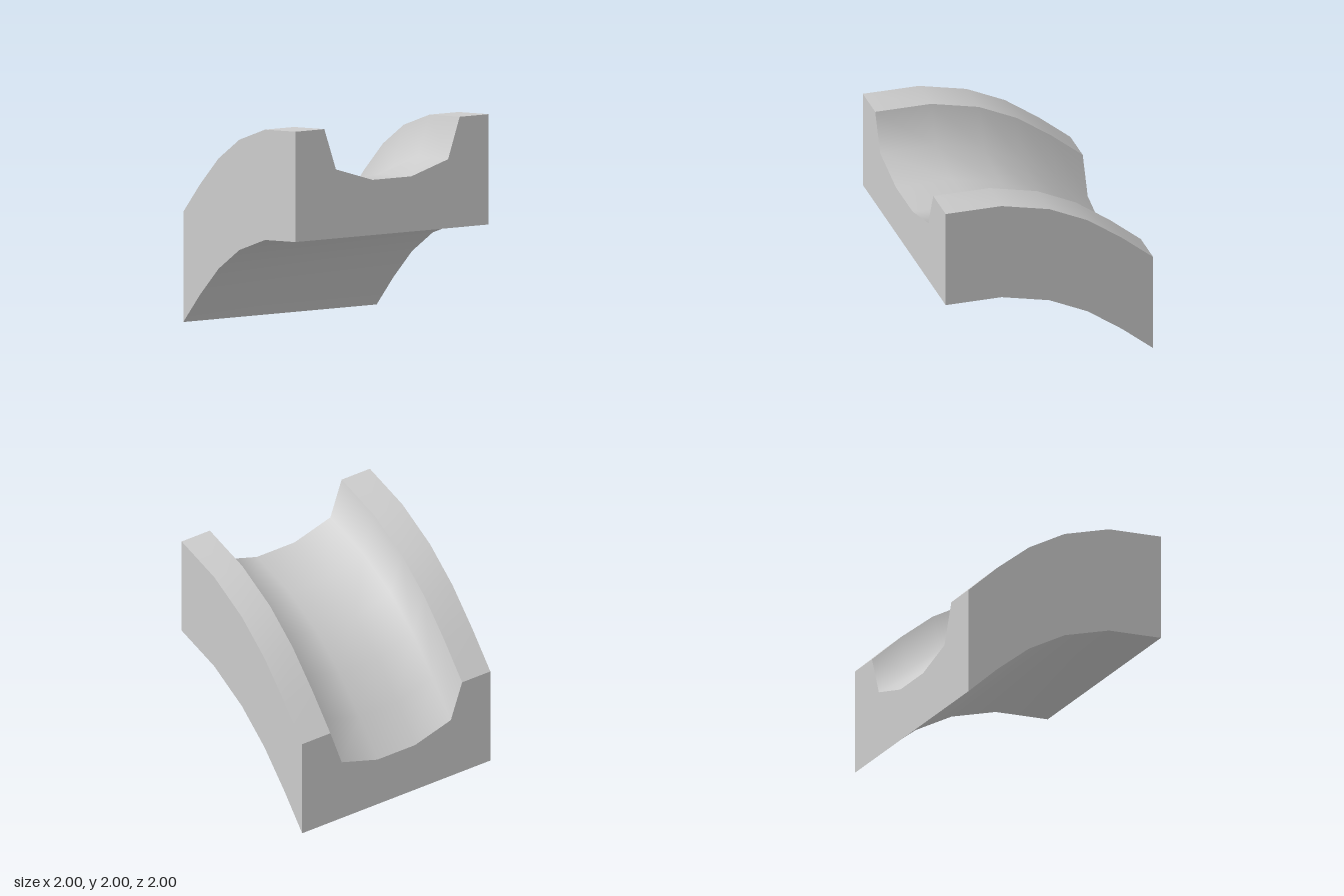
import * as THREE from 'three';

// Stations along the curved run, front to back: [z, drop]
const path = [[1, 0], [0.46, 0.055], [0, 0.21], [-0.37, 0.43], [-0.7, 0.71], [-1, 1]];

// Cross-section at the front, running clockwise seen from the front
const groove = [[-0.7, 2], [-0.58, 1.625], [-0.2, 1.5], [0.2, 1.5], [0.58, 1.625], [0.7, 2]];
const strips = {
  rightRim: [[-1, 2], [-0.7, 2]],
  channel: groove,
  leftRim: [[0.7, 2], [1, 2]],
  leftSide: [[1, 2], [1, 1]],
  underside: [[1, 1], [-1, 1]],
  rightSide: [[-1, 1], [-1, 2]],
};

// Carry one strip of the cross-section along the path, smooth within the strip
function sweep(profile) {
  const n = profile.length, positions = [], indices = [];
  path.forEach(([z, drop], j) => {
    profile.forEach(([x, y], i) => {
      positions.push(x, y - drop, z);
      if (i < n - 1 && j < path.length - 1) {
        const a = j * n + i;
        indices.push(a, a + 1, a + n + 1, a, a + n + 1, a + n);
      }
    });
  });
  const geometry = new THREE.BufferGeometry();
  geometry.setAttribute('position', new THREE.Float32BufferAttribute(positions, 3));
  geometry.setIndex(indices);
  geometry.computeVertexNormals();
  return geometry;
}

export function createModel() {
  const model = new THREE.Group();
  model.name = 'curvedChannelBlock';
  const material = new THREE.MeshStandardMaterial({ color: 0xcccccc });
  const add = (name, geometry) => {
    const mesh = new THREE.Mesh(geometry, material);
    mesh.name = name;
    model.add(mesh);
    return mesh;
  };

  // Long faces: rims, channel, sides and underside
  for (const [name, profile] of Object.entries(strips)) add(name, sweep(profile));

  // Flat end faces
  const outline = [[-1, 1], [-1, 2], ...groove, [1, 2], [1, 1]];
  const shape = new THREE.Shape(outline.map(([x, y]) => new THREE.Vector2(x, y)));
  add('frontEnd', new THREE.ShapeGeometry(shape)).position.z = 1;
  const back = add('backEnd', new THREE.ShapeGeometry(shape));
  back.rotation.y = Math.PI;
  back.position.set(0, -1, -1);

  return model;
}
